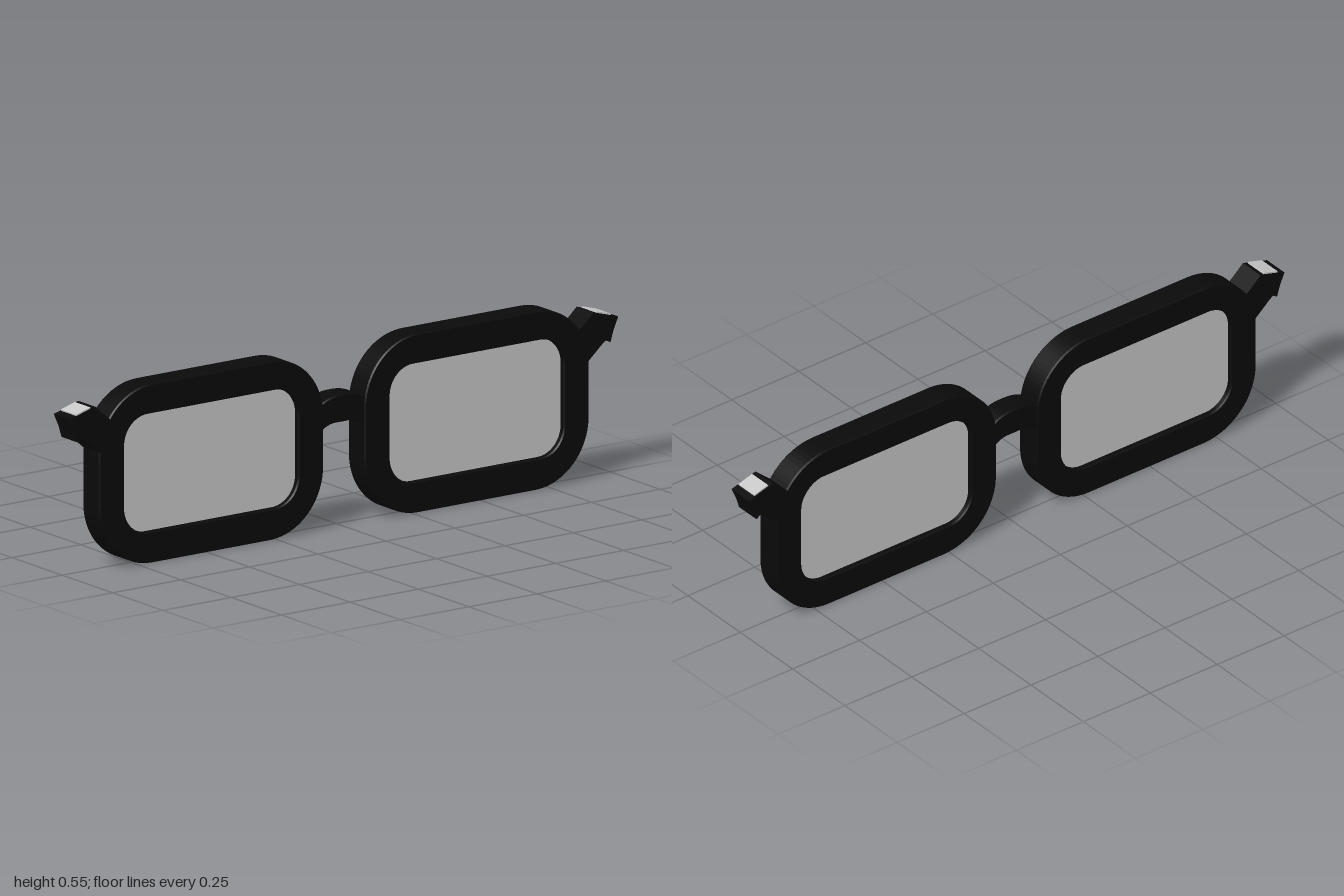
import * as THREE from 'three';

const frameMat = new THREE.MeshStandardMaterial({ color: 0x0a0a0a });
frameMat.name = 'black frame';
const lensMat = new THREE.MeshStandardMaterial({ color: 0xc8c8c8, side: THREE.DoubleSide });
lensMat.name = 'light grey';

// Rounded rectangle outline, drawn on a Shape or a hole Path
function roundedRect(path, x0, y0, x1, y1, r) {
  path.moveTo(x0 + r, y0);
  path.lineTo(x1 - r, y0);
  path.absarc(x1 - r, y0 + r, r, -Math.PI / 2, 0);
  path.lineTo(x1, y1 - r);
  path.absarc(x1 - r, y1 - r, r, 0, Math.PI / 2);
  path.lineTo(x0 + r, y1);
  path.absarc(x0 + r, y1 - r, r, Math.PI / 2, Math.PI);
  path.lineTo(x0, y0 + r);
  path.absarc(x0 + r, y0 + r, r, Math.PI, Math.PI * 1.5);
  return path;
}

// Extrusion centred on z = 0 with a fine bevel that stays inside the outline
function slab(shape, depth, bevel) {
  const geo = new THREE.ExtrudeGeometry(shape, {
    depth: depth - 2 * bevel, curveSegments: 10, bevelEnabled: bevel > 0,
    bevelThickness: bevel, bevelSize: bevel, bevelOffset: -bevel, bevelSegments: 1,
  });
  return geo.translate(0, 0, -depth / 2 + bevel);
}

function add(group, name, geo, mat) {
  const mesh = new THREE.Mesh(geo, mat);
  mesh.name = name;
  group.add(mesh);
  return mesh;
}

export function createModel() {
  const model = new THREE.Group();
  model.name = 'eyeglasses';

  for (const s of [1, -1]) {
    const side = s > 0 ? 'left' : 'right';
    const half = new THREE.Group();
    half.name = side + 'Half';
    model.add(half);
    const cx = s * 0.485;

    // Thick rim with a rounded window
    const rim = roundedRect(new THREE.Shape(), cx - 0.41, 0, cx + 0.41, 0.545, 0.195);
    rim.holes.push(roundedRect(new THREE.Path(), cx - 0.317, 0.095, cx + 0.317, 0.455, 0.085));
    add(half, side + 'Rim', slab(rim, 0.084, 0.004), frameMat);

    // Lens set slightly back from both rim faces
    const lens = roundedRect(new THREE.Shape(), cx - 0.325, 0.088, cx + 0.325, 0.462, 0.09);
    add(half, side + 'Lens', slab(lens, 0.05, 0), lensMat);

    // Hinge stub rising outward from the upper outer corner
    const pts = [[0.83, 0.44], [0.89, 0.362], [0.943, 0.408], [0.957, 0.418], [0.972, 0.408],
      [0.982, 0.442], [1.0, 0.482], [0.91, 0.508], [0.873, 0.475]];
    const outline = pts.map(([x, y]) => new THREE.Vector2(s * x, y));
    add(half, side + 'Hinge', slab(new THREE.Shape(outline), 0.084, 0), frameMat);

    // Pale plate on the sloped top of the stub
    const plate = add(half, side + 'HingePlate', new THREE.BoxGeometry(0.054, 0.006, 0.076), lensMat);
    plate.position.set(s * 0.951, 0.4975, 0);
    plate.rotation.z = -s * Math.atan2(0.026, 0.09);
  }

  // Arched bridge between the rims
  const bridge = new THREE.Shape();
  bridge.moveTo(-0.1, 0.285);
  bridge.bezierCurveTo(-0.05, 0.325, -0.03, 0.318, 0, 0.318);
  bridge.bezierCurveTo(0.03, 0.318, 0.05, 0.325, 0.1, 0.285);
  bridge.lineTo(0.1, 0.37);
  bridge.bezierCurveTo(0.06, 0.4, 0.03, 0.402, 0, 0.402);
  bridge.bezierCurveTo(-0.03, 0.402, -0.06, 0.4, -0.1, 0.37);
  add(model, 'bridge', slab(bridge, 0.074, 0.004), frameMat);

  return model;
}
